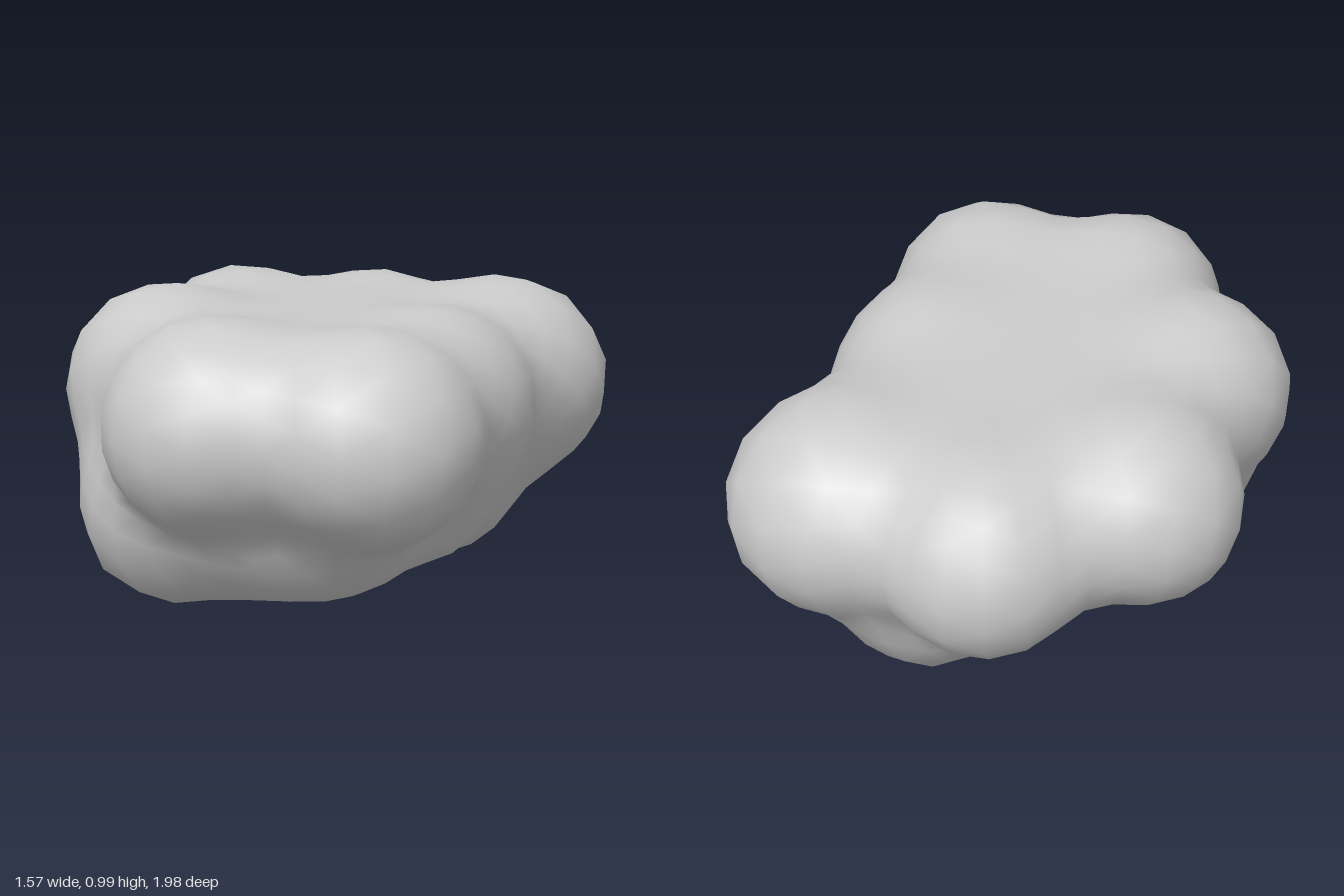
import * as THREE from 'three';
import { mergeVertices } from 'three/addons/utils/BufferGeometryUtils.js';

// Rounded lobes of the cloud: x, y, z, radius
const LOBES = [
  // upper ring of puffs
  [-0.15, 0.645, 0.69, 0.3], [0.34, 0.635, 0.67, 0.3],
  [-0.485, 0.68, 0.2, 0.295], [-0.45, 0.65, -0.4, 0.29],
  [-0.04, 0.6, -0.7, 0.3], [0.45, 0.6, -0.6, 0.3], [0.48, 0.6, -0.53, 0.295],
  [0.38, 0.63, 0.13, 0.28],
  // underside puffs
  [-0.37, 0.3, 0.39, 0.27], [0.22, 0.28, -0.45, 0.285],
  [-0.06, 0.34, 0.42, 0.25], [0.14, 0.37, 0.43, 0.24],
  [0, 0.3, -0.06, 0.25], [-0.42, 0.46, 0.28, 0.22],
].map(([x, y, z, r]) => ({ c: new THREE.Vector3(x, y, z), r }));

// Flat rounded cores: x,z outline, height rule and edge radius
const PLATES = [
  {
    outline: [[-0.14, 0.6], [0.33, 0.6], [0.37, 0.1], [0.4, -0.5], [0, -0.58], [-0.37, -0.35], [-0.38, 0.2]],
    height: (x, z) => 0.65 + 0.025 * z - 0.03 * x, r: 0.27,
  },
  {
    outline: [[-0.36, 0.36], [0.15, 0.4], [0.31, 0.1], [0.28, -0.4], [0, -0.34], [-0.29, -0.12]],
    height: () => 0.39, r: 0.26,
  },
];

const BLEND = 0.14;

function plateDistance({ outline, height, r }, p) {
  let flat = 10, inside = true;
  outline.forEach(([ax, az], i) => {
    const [bx, bz] = outline[(i + 1) % outline.length];
    const ex = bx - ax, ez = bz - az, px = p.x - ax, pz = p.z - az;
    const t = THREE.MathUtils.clamp((px * ex + pz * ez) / (ex * ex + ez * ez), 0, 1);
    flat = Math.min(flat, Math.hypot(px - ex * t, pz - ez * t));
    if (ex * pz - ez * px > 0) inside = false;
  });
  return Math.hypot(inside ? 0 : flat, p.y - height(p.x, p.z)) - r;
}

// Distance to the softly blended lobes and cores
function distance(p) {
  let d = 10;
  const blend = (s) => {
    const h = Math.max(BLEND - Math.abs(d - s), 0);
    d = Math.min(d, s) - (h * h) / (4 * BLEND);
  };
  PLATES.forEach((plate) => blend(plateDistance(plate, p)));
  LOBES.forEach(({ c, r }) => blend(p.distanceTo(c) - r));
  return d;
}

// Move a point onto the surface along the slope of the distance
function settle(p) {
  const e = 0.002, q = new THREE.Vector3(), slope = new THREE.Vector3();
  for (let k = 0; k < 4; k++) {
    for (const axis of ['x', 'y', 'z']) {
      q.copy(p)[axis] += e;
      const ahead = distance(q);
      q[axis] -= 2 * e;
      slope[axis] = ahead - distance(q);
    }
    p.addScaledVector(slope.normalize(), -distance(p));
  }
}

// Shrink a coarse sphere onto the surface, then even out its faces
function cloudGeometry() {
  const sphere = new THREE.IcosahedronGeometry(1, 7);
  sphere.deleteAttribute('normal');
  sphere.deleteAttribute('uv');
  const geo = mergeVertices(sphere, 1e-4);
  const pos = geo.attributes.position, index = geo.index.array;
  const centre = new THREE.Vector3(0, 0.52, 0), spread = new THREE.Vector3(0.8, 0.55, 1);
  const points = [], neighbours = [];
  for (let i = 0; i < pos.count; i++) {
    const dir = new THREE.Vector3().fromBufferAttribute(pos, i).multiply(spread).normalize();
    const p = new THREE.Vector3();
    let t = 1.4;
    for (let k = 0; k < 60; k++) {
      const d = distance(p.copy(centre).addScaledVector(dir, t));
      t = Math.max(t - d, 0.1);
    }
    points.push(p);
    neighbours.push(new Set());
  }
  for (let f = 0; f < index.length; f += 3) {
    for (let k = 0; k < 3; k++) {
      neighbours[index[f + k]].add(index[f + (k + 1) % 3]).add(index[f + (k + 2) % 3]);
    }
  }
  for (let pass = 0; pass < 12; pass++) {
    const averages = neighbours.map((near) => {
      const sum = new THREE.Vector3();
      near.forEach((n) => sum.add(points[n]));
      return sum.divideScalar(near.size);
    });
    points.forEach((p, i) => {
      p.lerp(averages[i], 0.6);
      settle(p);
    });
  }
  points.forEach((p, i) => pos.setXYZ(i, p.x, p.y, p.z));
  geo.computeVertexNormals();
  return geo;
}

export function createModel() {
  const group = new THREE.Group();
  group.name = 'cloud';
  const body = new THREE.Mesh(cloudGeometry(), new THREE.MeshStandardMaterial({ color: 0xcccccc }));
  body.name = 'cloudBody';
  group.add(body);
  return group;
}
